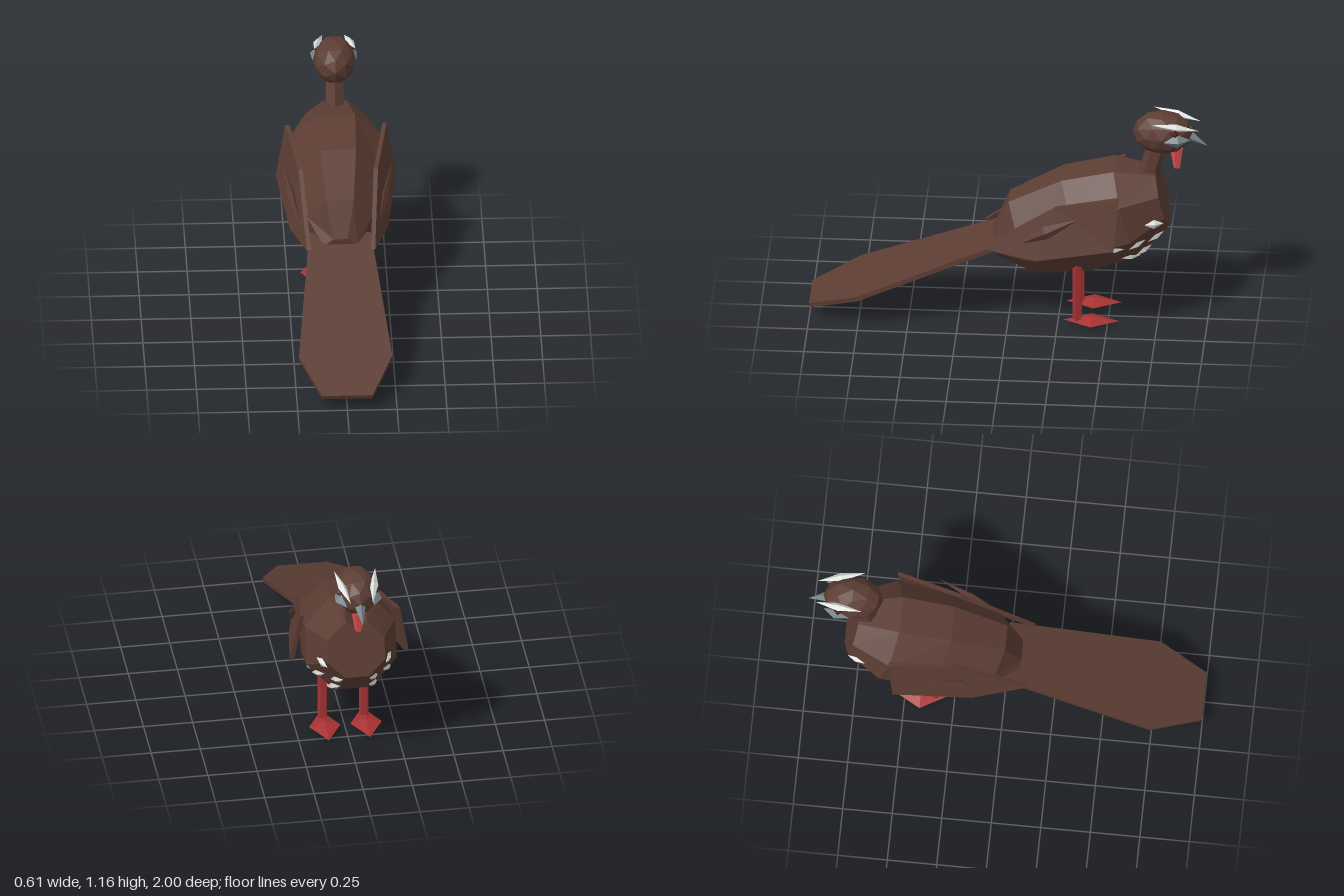
import * as THREE from 'three';

const mat = (name, color, side = THREE.FrontSide) => {
  const m = new THREE.MeshStandardMaterial({ color, flatShading: true, side });
  m.name = name;
  return m;
};

// Closed loft through rings of equal point count, with flat end caps.
// Rings run counter-clockwise as seen from the first ring's outer end.
function loft(rings, flip = false) {
  const n = rings[0].length, pos = rings.flat(2), idx = [];
  const tri = (a, b, c) => (flip ? idx.push(a, c, b) : idx.push(a, b, c));
  for (let i = 0; i < rings.length - 1; i++)
    for (let j = 0; j < n; j++) {
      const k = (j + 1) % n, a = i * n + j, b = a + n, c = (i + 1) * n + k, d = i * n + k;
      tri(a, b, c);
      tri(a, c, d);
    }
  const last = (rings.length - 1) * n;
  for (let j = 1; j < n - 1; j++) {
    tri(0, j, j + 1);
    tri(last, last + j + 1, last + j);
  }
  let g = new THREE.BufferGeometry();
  g.setAttribute('position', new THREE.Float32BufferAttribute(pos, 3));
  g.setIndex(idx);
  g = g.toNonIndexed();
  g.computeVertexNormals();
  return g;
}

// Tapered rod between two points
function rod(a, b, ra, rb, sides) {
  const A = new THREE.Vector3(...a), B = new THREE.Vector3(...b), d = B.clone().sub(A);
  const g = new THREE.CylinderGeometry(rb, ra, d.length(), sides);
  g.applyQuaternion(new THREE.Quaternion().setFromUnitVectors(new THREE.Vector3(0, 1, 0), d.normalize()));
  g.translate(...A.add(B).multiplyScalar(0.5).toArray());
  return g;
}

export function createModel() {
  const model = new THREE.Group();
  const brown = mat('plumage brown', 0x5c3d33);
  const red = mat('leg red', 0xa83232);
  const wattleRed = mat('wattle red', 0xe05252);
  const white = mat('feather white', 0xe2e4e2);
  const grey = mat('beak grey', 0x78868a);
  const dark = mat('eye brown', 0x4a2018);
  const add = (name, geo, m) => {
    const mesh = new THREE.Mesh(geo, m);
    mesh.name = name;
    model.add(mesh);
    return mesh;
  };

  // Body: tilted octagonal rings [topZ, topY, bottomZ, bottomY, halfWidth]
  const rings = [
    [0.08, 0.48, 0.06, 0.34, 0.085],
    [0.0, 0.66, -0.14, 0.265, 0.165],
    [-0.27, 0.80, -0.42, 0.30, 0.22],
    [-0.53, 0.86, -0.66, 0.39, 0.23],
    [-0.74, 0.83, -0.81, 0.55, 0.145],
  ].map(([tz, ty, bz, by, w]) =>
    Array.from({ length: 8 }, (_, j) => {
      const a = ((j + 0.5) * Math.PI) / 4, k = 1 / Math.cos(Math.PI / 8);
      const s = Math.sin(a) * k * 0.5;
      return [w * Math.cos(a) * k, (ty + by) / 2 + (ty - by) * s, (tz + bz) / 2 + (tz - bz) * s];
    }));
  const body = add('body', loft(rings), brown);

  // Neck and head
  add('neck', rod([0, 0.78, -0.69], [0, 1.0, -0.755], 0.055, 0.048, 6), brown);
  const head = add('head', new THREE.IcosahedronGeometry(1, 1), brown);
  head.scale.set(0.108, 0.112, 0.152);
  head.position.set(0, 1.047, -0.772);

  // Beak and wattle
  add('beak', rod([0, 1.035, -0.9], [0, 0.978, -0.995], 0.03, 0.001, 4), grey);
  add('wattle', rod([0, 0.965, -0.845], [0, 0.85, -0.845], 0.037, 0.018, 5), wattleRed);

  // Tail: flat fan sloping down to the rear
  const outline = [[-0.155, 0], [0.155, 0], [0.235, 0.81], [0.127, 1.07], [-0.127, 1.07], [-0.235, 0.81]];
  const tail = add('tail', new THREE.ExtrudeGeometry(
    new THREE.Shape(outline.map(([x, y]) => new THREE.Vector2(x, y))),
    { depth: 0.025, bevelEnabled: false }), brown);
  tail.rotation.x = Math.PI / 2 + 0.376;
  tail.position.set(0, 0.477, 0.005);

  for (const s of [1, -1]) {
    const side = s > 0 ? 'left' : 'right';
    const swap = -s; // the bird looks along -z
    const label = (part) => (swap > 0 ? 'left' : 'right') + part || side;

    // Wing: folded slab, outer face to inner face
    const wing = [[0.255, 0.787, -0.57], [0.303, 0.515, -0.545], [0.247, 0.42, -0.15], [0.172, 0.445, 0.13], [0.2, 0.7, -0.25]].reverse();
    const face = (dx) => wing.map(([x, y, z]) => [s * (x + dx), y, z]);
    add(label('Wing'), loft([face(0), face(-0.022)], s < 0), brown);

    // Raised feather on the wing
    const feather = add(label('WingFeather'), new THREE.OctahedronGeometry(1), brown);
    feather.scale.set(0.018, 0.035, 0.2);
    feather.position.set(s * 0.235, 0.577, -0.2);
    feather.rotation.set(0.53, -s * 0.24, 0, 'YXZ');

    // Brow plume
    const brow = add(label('Brow'), new THREE.OctahedronGeometry(1), white);
    brow.scale.set(0.022, 0.022, 0.125);
    brow.position.set(s * 0.08, 1.11, -0.84);
    brow.rotation.set(-0.2, s * 0.2, 0, 'YXZ');

    // Cheek patch and eye
    const cheek = add(label('Cheek'), new THREE.OctahedronGeometry(1), grey);
    cheek.scale.set(0.03, 0.038, 0.07);
    cheek.position.set(s * 0.09, 1.04, -0.85);
    cheek.rotation.y = s * 0.3;
    const eye = add(label('Eye'), new THREE.OctahedronGeometry(0.024), dark);
    eye.position.set(s * 0.092, 1.083, -0.84);

    // Leg and foot
    add(label('Leg'), rod([s * 0.105, 0.02, -0.35], [s * 0.105, 0.36, -0.35], 0.026, 0.026, 5), red);
    const foot = add(label('Foot'), new THREE.OctahedronGeometry(1), red);
    foot.scale.set(0.08, 0.025, 0.14);
    foot.position.set(s * 0.105, 0.025, -0.42);

    // Breast spots, laid on the body surface at [z, y]
    const ray = new THREE.Raycaster();
    body.updateMatrixWorld();
    for (const [z, y] of [[-0.74, 0.61], [-0.545, 0.475], [-0.655, 0.495], [-0.745, 0.505], [-0.62, 0.395], [-0.685, 0.43]]) {
      ray.set(new THREE.Vector3(s, y, z), new THREE.Vector3(-s, 0, 0));
      const hit = ray.intersectObject(body)[0];
      if (!hit) continue;
      const n = hit.face.normal.clone();
      const along = new THREE.Vector3(0, 0, 1).addScaledVector(n, -n.z).normalize();
      const spot = add(label('BreastSpot'), new THREE.OctahedronGeometry(1), white);
      spot.scale.set(0.014, 0.024, 0.052);
      spot.position.copy(hit.point);
      spot.quaternion.setFromRotationMatrix(
        new THREE.Matrix4().makeBasis(n, along.clone().cross(n), along));
    }
  }
  return model;
}
